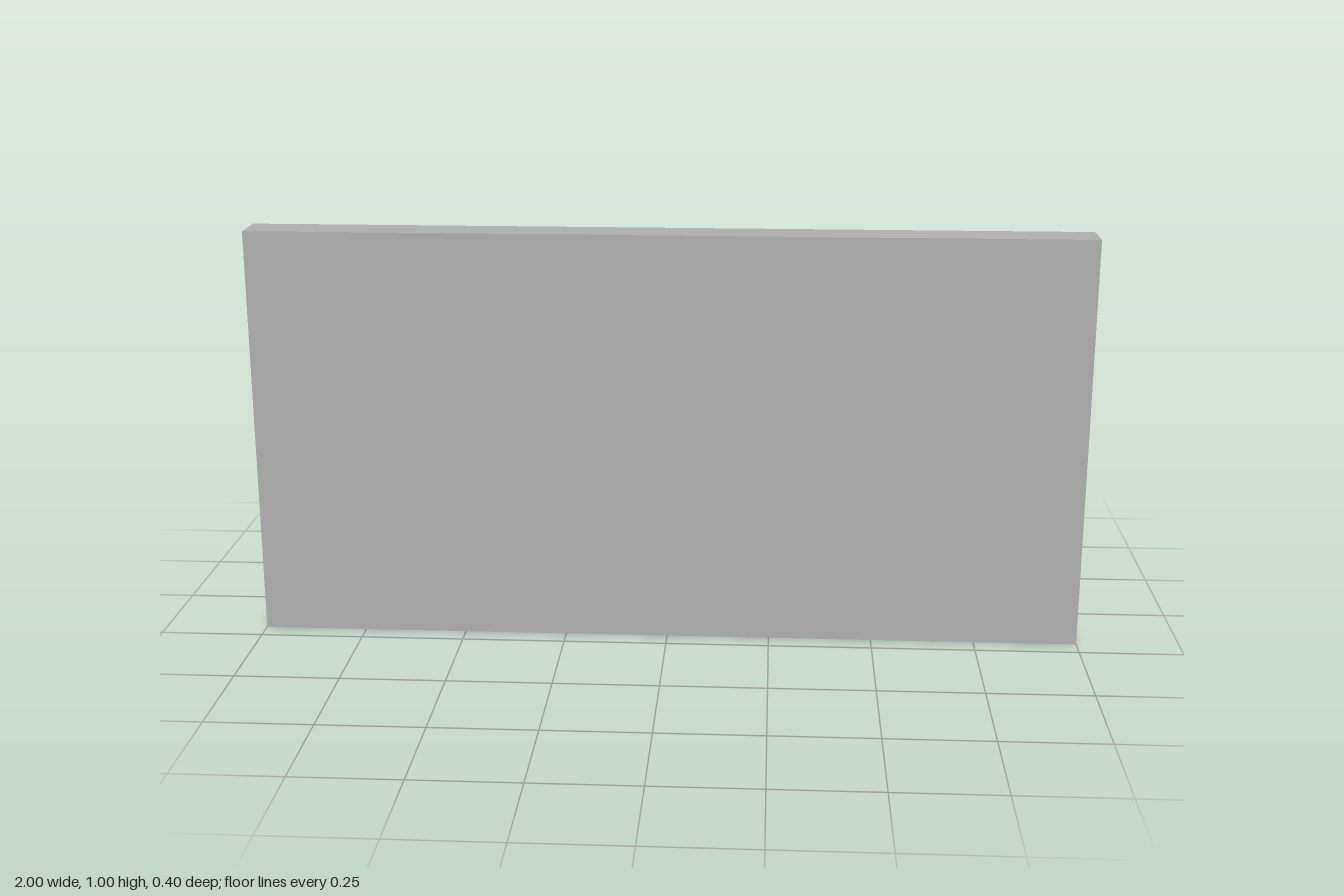
import * as THREE from 'three';

const LENGTH = 2;
const FRONT = -0.2; // profile runs from the front (-) to the back (+)
const PANEL_BACK = -0.1;
const HEIGHT = 1;

// Ledges behind the panel, bottom to top
const ledges = [
  { bottom: 0, top: 0.2, back: 0.2 }, // base block
  { bottom: 0.43, top: 0.48, back: 0.173 }, // lower shelf
  { bottom: 0.7, top: 0.75, back: 0.149 }, // upper shelf
];

export function createModel() {
  const group = new THREE.Group();
  group.name = 'shelfDisplay';

  const grey = new THREE.MeshStandardMaterial({ color: 0xb0b0b0 });
  grey.name = 'light grey';

  // Side profile: upright panel with the base and shelves as one solid
  const profile = new THREE.Shape();
  profile.moveTo(FRONT, 0);
  for (const { bottom, top, back } of ledges) {
    if (bottom > 0) profile.lineTo(PANEL_BACK, bottom);
    profile.lineTo(back, bottom);
    profile.lineTo(back, top);
    profile.lineTo(PANEL_BACK, top);
  }
  profile.lineTo(PANEL_BACK, HEIGHT);
  profile.lineTo(FRONT, HEIGHT);
  profile.closePath();

  // Sweep the profile across the width
  const geometry = new THREE.ExtrudeGeometry(profile, { depth: LENGTH, bevelEnabled: false });
  geometry.translate(0, 0, -LENGTH / 2);
  geometry.rotateY(Math.PI / 2);

  const body = new THREE.Mesh(geometry, grey);
  body.name = 'panelWithBaseAndShelves';
  group.add(body);
  return group;
}
